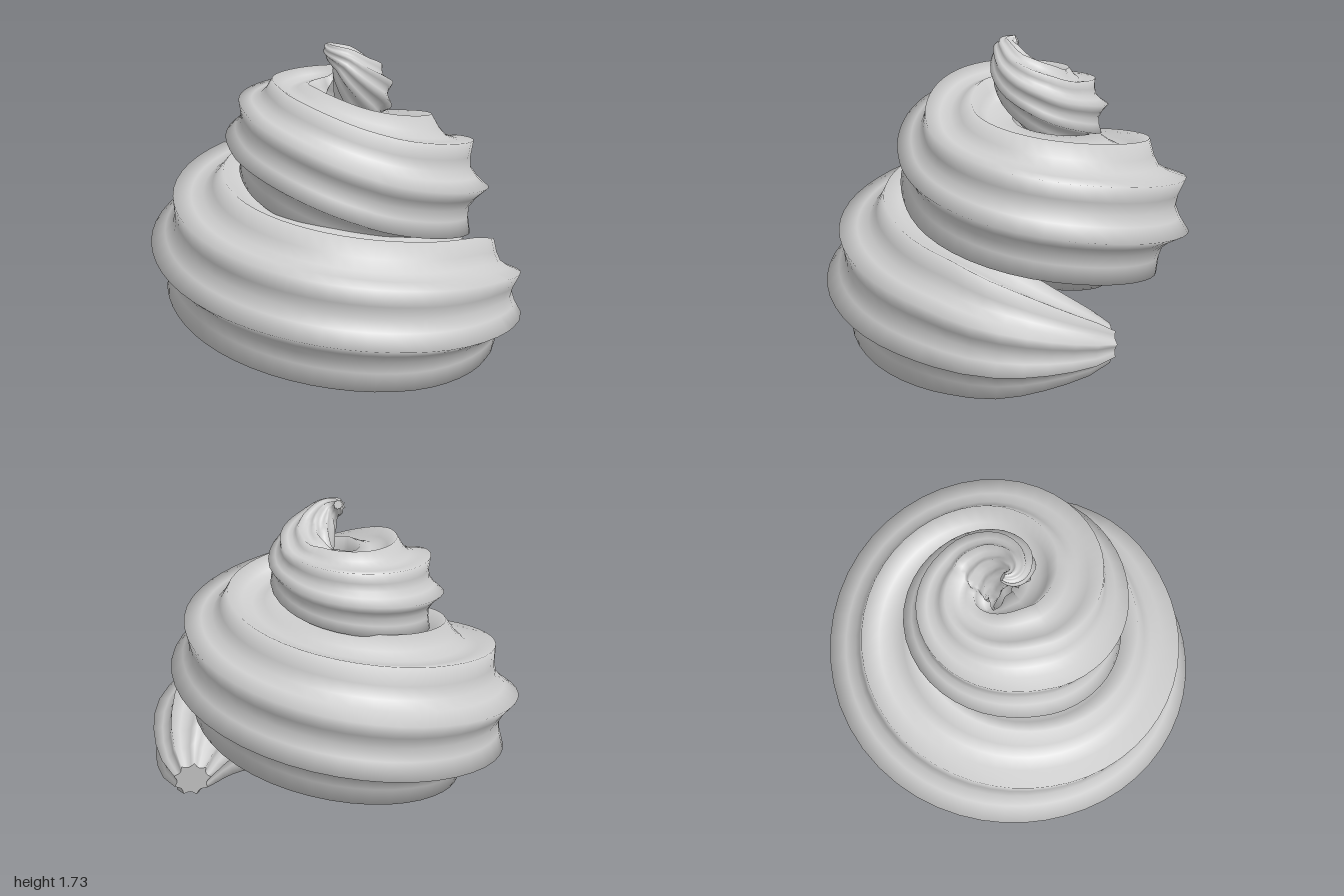
import * as THREE from 'three';

// Spiral centre line: [degrees from +x towards +z, distance from axis, height, tube radius, ridge twist in degrees]
const KEYS = [
  [-5, 0.85, 0.30, 0.10, -22], [0, 0.83, 0.31, 0.15, -21], [15, 0.77, 0.34, 0.25, -19],
  [33, 0.71, 0.37, 0.345, -16], [52, 0.64, 0.40, 0.40, -13], [90, 0.57, 0.43, 0.43, -7],
  [180, 0.54, 0.59, 0.43, 1], [270, 0.585, 0.73, 0.43, 18], [360, 0.50, 0.90, 0.40, 36],
  [450, 0.27, 1.06, 0.36, 54], [540, 0.24, 1.20, 0.33, 75], [630, 0.32, 1.29, 0.25, 85],
  [683, 0.265, 1.37, 0.20, 90], [711, 0.195, 1.46, 0.17, 93], [735, 0.12, 1.55, 0.13, 96],
  [760, 0.055, 1.64, 0.08, 99], [820, -0.05, 1.70, 0.025, 105],
];
const SIDES = 36, RIDGES = 9, STEP = 7;

// Smooth interpolation of one column of KEYS
function sample(deg, col) {
  let i = 0;
  while (i < KEYS.length - 2 && deg > KEYS[i + 1][0]) i++;
  const slope = (k) => {
    const a = KEYS[Math.max(k - 1, 0)], b = KEYS[Math.min(k + 1, KEYS.length - 1)];
    return (b[col] - a[col]) / (b[0] - a[0]);
  };
  const [p, q] = [KEYS[i], KEYS[i + 1]];
  const h = q[0] - p[0], t = (deg - p[0]) / h, t2 = t * t, t3 = t2 * t;
  return (2 * t3 - 3 * t2 + 1) * p[col] + (t3 - 2 * t2 + t) * h * slope(i)
    + (3 * t2 - 2 * t3) * q[col] + (t3 - t2) * h * slope(i + 1);
}

function centre(deg) {
  const a = THREE.MathUtils.degToRad(deg), r = sample(deg, 1);
  return new THREE.Vector3(Math.cos(a) * r, sample(deg, 2), Math.sin(a) * r);
}

// Star-shaped ring of points across the tube
function ring(deg) {
  const c = centre(deg), radius = sample(deg, 3);
  const tangent = centre(deg + 0.5).sub(centre(deg - 0.5)).normalize();
  const out = new THREE.Vector3(0, 1, 0).cross(tangent).normalize();
  const up = tangent.clone().cross(out);
  const twist = THREE.MathUtils.degToRad(sample(deg, 4));
  return Array.from({ length: SIDES }, (_, j) => {
    const f = (j / SIDES) * Math.PI * 2;
    const r = radius * (1 - 0.21 * Math.abs(Math.sin(f * RIDGES / 2)) ** 0.9);
    return c.clone().addScaledVector(out, Math.cos(f + twist) * r)
      .addScaledVector(up, Math.sin(f + twist) * r);
  });
}

function buildMesh(name, points, index, material) {
  const geometry = new THREE.BufferGeometry().setFromPoints(points);
  geometry.setIndex(index);
  geometry.computeVertexNormals();
  const mesh = new THREE.Mesh(geometry, material);
  mesh.name = name;
  return mesh;
}

// Flat star closing one end of the tube
function buildCap(name, points, deg, flip, material) {
  const index = [];
  for (let j = 0; j < SIDES; j++) {
    const k = (j + 1) % SIDES;
    index.push(SIDES, ...(flip ? [k, j] : [j, k]));
  }
  return buildMesh(name, [...points, centre(deg)], index, material);
}

export function createModel() {
  const group = new THREE.Group();
  group.name = 'creamSwirl';
  const material = new THREE.MeshStandardMaterial({ color: 0xcccccc, side: THREE.DoubleSide });

  const first = KEYS[0][0], last = KEYS[KEYS.length - 1][0];
  const count = Math.ceil((last - first) / STEP);
  const rings = Array.from({ length: count + 1 }, (_, i) => ring(first + (last - first) * i / count));

  // Ridged tube coiling upwards
  const index = [];
  for (let i = 0; i < count; i++) {
    for (let j = 0; j < SIDES; j++) {
      const k = (j + 1) % SIDES;
      const a = i * SIDES + j, b = i * SIDES + k;
      index.push(a, b, b + SIDES, a, b + SIDES, a + SIDES);
    }
  }
  group.add(buildMesh('swirl', rings.flat(), index, material));
  group.add(buildCap('startCap', rings[0], first, true, material));
  group.add(buildCap('tipCap', rings[count], last, false, material));
  return group;
}
